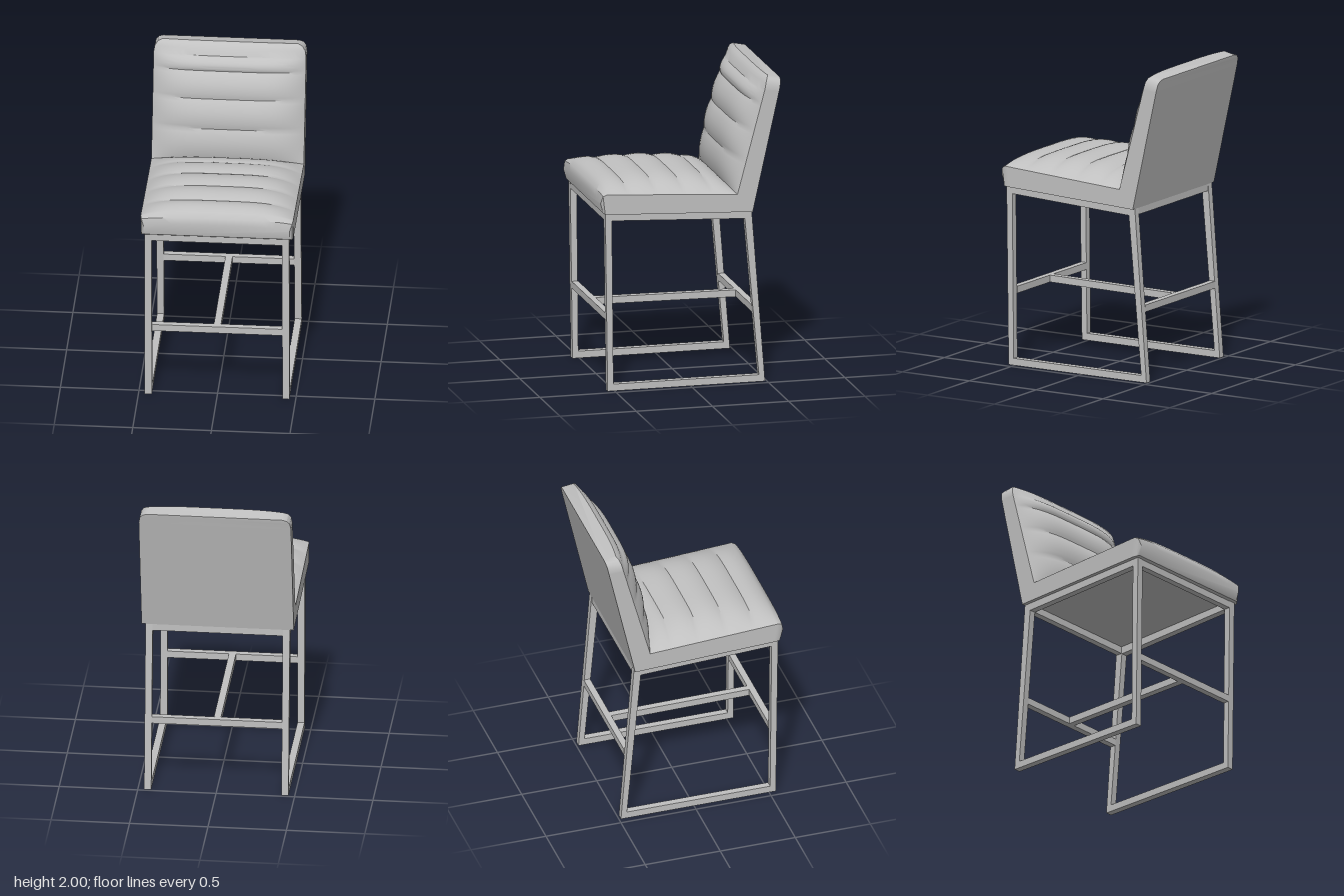
import * as THREE from 'three';
import { toCreasedNormals } from 'three/addons/utils/BufferGeometryUtils.js';

const HALF = 0.485; // cushion half width
const BAR = 0.045; // frame tube thickness
const lerp = (a, b, t) => a.map((v, i) => v + (b[i] - v) * t);

// A ring is a cross-section: base, edge and crown points as [z, y], and a half width
function ringPoints({ base, edge, top, w }) {
  const pts = [[-w, base[1], base[0]]];
  const n = 24;
  for (let i = 0; i <= n; i++) {
    const u = -Math.cos((Math.PI * i) / n);
    const [z, y] = lerp(edge, top, 1 - Math.pow(Math.abs(u), 4));
    pts.push([u * w, y, z]);
  }
  pts.push([w, base[1], base[0]]);
  return pts;
}

// Skin the rings and close both ends
function skin(rings) {
  const loops = rings.map(ringPoints);
  const m = loops[0].length;
  const index = [];
  for (let i = 0; i < loops.length - 1; i++) {
    for (let j = 0; j < m; j++) {
      const a = i * m + j, b = i * m + ((j + 1) % m);
      index.push(a, b, a + m, b, b + m, a + m);
    }
  }
  const last = (loops.length - 1) * m;
  for (let j = 1; j < m - 1; j++) {
    index.push(0, j + 1, j);
    index.push(last, last + j, last + j + 1);
  }
  const g = new THREE.BufferGeometry();
  g.setAttribute('position', new THREE.Float32BufferAttribute(loops.flat(2), 3));
  g.setIndex(index);
  return toCreasedNormals(g, 0.6);
}

// Padded channels bulging between consecutive seam points
function channels(seams, base, edge, bulge, normal) {
  const rings = [];
  const steps = 10;
  const span = seams.length - 1;
  const total = Math.hypot(seams[span][0] - seams[0][0], seams[span][1] - seams[0][1]);
  for (let i = 0; i < span; i++) {
    for (let k = i ? 1 : 0; k <= steps; k++) {
      const f = k / steps;
      const p = lerp(seams[i], seams[i + 1], f);
      const s = i === span - 1 && k === steps
        ? 1 : Math.hypot(p[0] - seams[0][0], p[1] - seams[0][1]) / total;
      const h = bulge * Math.pow(Math.sin(Math.PI * Math.min(f, 0.99999)), 0.8);
      rings.push({
        base: lerp(base[0], base[1], s),
        edge: lerp(edge[0], edge[1], s),
        top: [p[0] + normal[0] * h, p[1] + normal[1] * h],
        w: HALF,
      });
    }
  }
  return rings;
}

export function createModel() {
  const group = new THREE.Group();
  const grey = new THREE.MeshStandardMaterial({ color: 0xc0c0c0 });
  grey.name = 'light grey';

  const add = (name, geometry) => {
    const mesh = new THREE.Mesh(geometry, grey);
    mesh.name = name;
    group.add(mesh);
    return mesh;
  };

  // Seat cushion: rounded nose, then five channels running to the mitred rear
  add('seatCushion', skin([
    { base: [0.575, 1.168], edge: [0.592, 1.23], top: [0.595, 1.26], w: 0.463 },
    { base: [0.565, 1.161], edge: [0.58, 1.28], top: [0.584, 1.3], w: 0.479 },
    ...channels(
      [[0.555, 1.328], [0.41, 1.338], [0.23, 1.346], [0.05, 1.338], [-0.13, 1.322], [-0.27, 1.275]],
      [[0.54, 1.16], [-0.4, 1.12]],
      [[0.555, 1.292], [-0.3, 1.24]],
      0.019, [0, 1]),
  ]));

  // Back cushion: four channels, then a rounded top
  add('backCushion', skin([
    ...channels(
      [[-0.262, 1.265], [-0.277, 1.48], [-0.325, 1.67], [-0.385, 1.84], [-0.43, 1.925]],
      [[-0.4, 1.12], [-0.576, 1.91]],
      [[-0.3, 1.24], [-0.48, 1.915]],
      0.022, [0.97, 0.22]),
    { base: [-0.584, 1.95], edge: [-0.489, 1.955], top: [-0.45, 1.965], w: 0.478 },
    { base: [-0.589, 1.97], edge: [-0.5, 1.982], top: [-0.472, 1.986], w: 0.46 },
    { base: [-0.59, 1.978], edge: [-0.512, 1.994], top: [-0.496, 1.999], w: 0.43 },
  ]));

  // Side frames: one closed loop of tube on each side, drawn in z and y
  const v = ([z, y]) => new THREE.Vector2(z, y);
  const outline = new THREE.Shape([[0.545, 0], [0.56, 1.16], [-0.4, 1.12], [-0.487, 0]].map(v));
  outline.holes.push(new THREE.Path([[0.507, BAR], [0.517, 1.113], [-0.355, 1.073], [-0.447, BAR]].map(v)));
  const sideGeometry = new THREE.ExtrudeGeometry(outline, { depth: BAR, bevelEnabled: false });
  sideGeometry.rotateY(-Math.PI / 2);
  add('leftSideFrame', sideGeometry).position.x = 0.46;
  add('rightSideFrame', sideGeometry).position.x = -0.46 + BAR;

  // Cross rails under the seat and footrest stretchers
  const rails = [
    ['frontSeatRail', 1.136, 0.537],
    ['rearSeatRail', 1.098, -0.377],
    ['frontStretcher', 0.482, 0.529],
    ['rearStretcher', 0.472, -0.431],
  ];
  for (const [name, y, z] of rails) {
    add(name, new THREE.BoxGeometry(0.83, BAR, 0.042)).position.set(0, y, z);
  }

  // Middle bar joining the two stretchers
  const middle = add('middleStretcher', new THREE.BoxGeometry(BAR, BAR, 0.92));
  middle.position.set(0, 0.477, 0.049);
  middle.rotation.x = -0.0104;

  return group;
}
